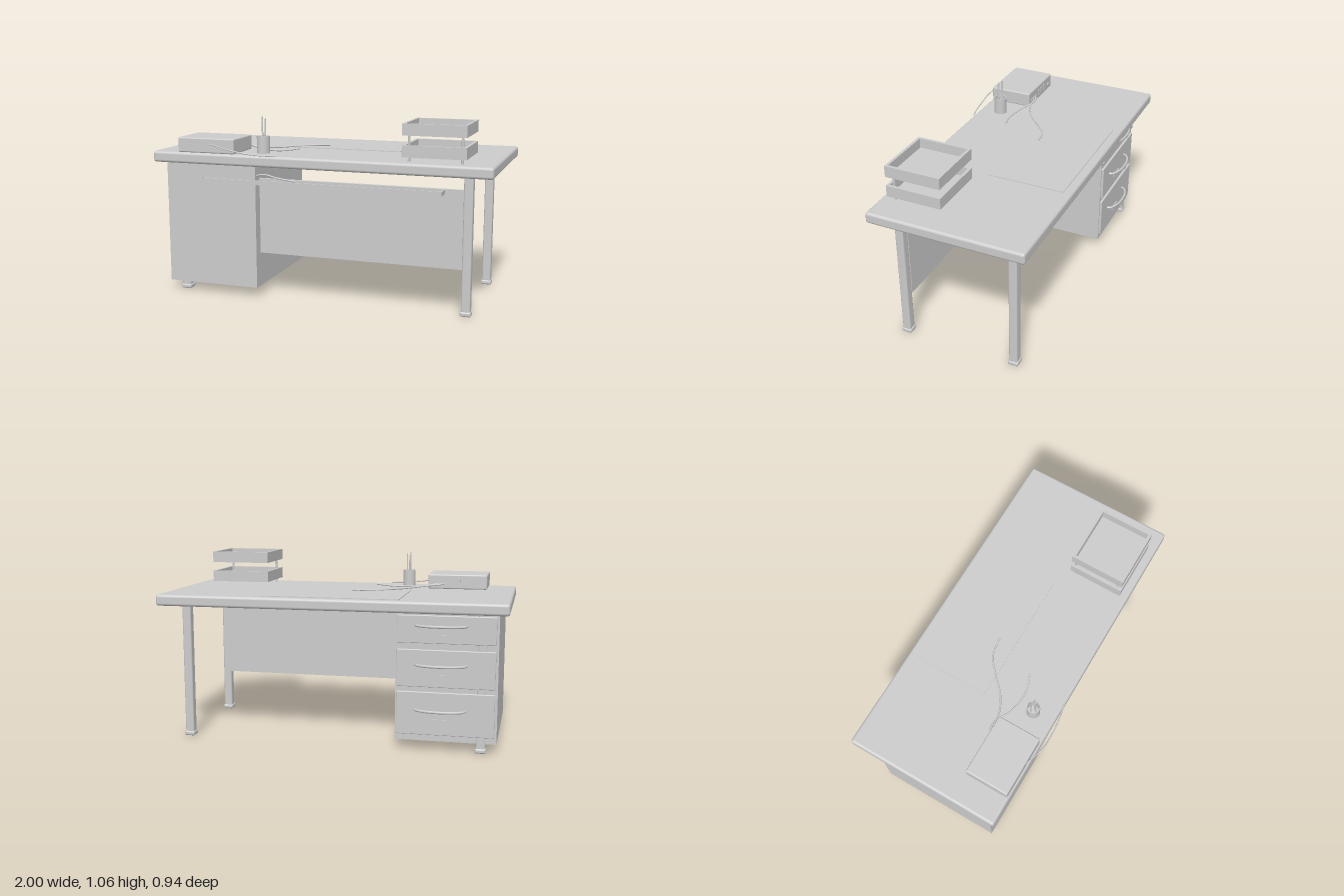
import * as THREE from 'three';
import { RoundedBoxGeometry } from 'three/addons/geometries/RoundedBoxGeometry.js';

const grey = new THREE.MeshStandardMaterial({ color: 0xcccccc });

function add(parent, name, geometry, x = 0, y = 0, z = 0) {
  const mesh = new THREE.Mesh(geometry, grey);
  mesh.name = name;
  mesh.position.set(x, y, z);
  parent.add(mesh);
  return mesh;
}

// Box given by its minimum and maximum on each axis, optionally with rounded edges
function block(parent, name, [x0, x1], [y0, y1], [z0, z1], round = 0) {
  const size = [x1 - x0, y1 - y0, z1 - z0];
  const geometry = round ? new RoundedBoxGeometry(...size, 3, round) : new THREE.BoxGeometry(...size);
  return add(parent, name, geometry, (x0 + x1) / 2, (y0 + y1) / 2, (z0 + z1) / 2);
}

function tube(parent, name, points, radius) {
  const curve = new THREE.CatmullRomCurve3(points.map(p => new THREE.Vector3(...p)));
  return add(parent, name, new THREE.TubeGeometry(curve, 40, radius, 8));
}

function group(parent, name) {
  const g = new THREE.Group();
  g.name = name;
  parent.add(g);
  return g;
}

function cylinder(radius, height, sides = 24) {
  return new THREE.CylinderGeometry(radius, radius, height, sides);
}

// Open tray: floor and four walls
function openTray(parent, name, [x0, x1], [y0, y1], [z0, z1], wall) {
  const g = group(parent, name);
  block(g, 'floor', [x0, x1], [y0, y0 + wall * 0.6], [z0, z1]);
  block(g, 'leftWall', [x1 - wall, x1], [y0, y1], [z0, z1]);
  block(g, 'rightWall', [x0, x0 + wall], [y0, y1], [z0, z1]);
  block(g, 'frontWall', [x0 + wall, x1 - wall], [y0, y1], [z1 - wall, z1]);
  block(g, 'backWall', [x0 + wall, x1 - wall], [y0, y1], [z0, z0 + wall]);
}

export function createModel() {
  const desk = new THREE.Group();
  desk.name = 'desk';

  block(desk, 'tabletop', [-1, 1], [0.784, 0.849], [-0.47, 0.44], 0.016);

  // Legs with round-edged posts and wider feet
  for (const x of [-0.857, 0.853]) {
    for (const z of [-0.347, 0.321]) {
      const leg = group(desk, 'leg');
      block(leg, 'post', [x - 0.026, x + 0.026], [0.02, 0.79], [z - 0.025, z + 0.025], 0.01);
      block(leg, 'foot', [x - 0.031, x + 0.031], [0, 0.028], [z - 0.031, z + 0.031], 0.01);
    }
  }

  // Drawer pedestal, its back face holding the drawers
  block(desk, 'pedestal', [-0.944, -0.377], [0.055, 0.786], [-0.366, 0.375]);
  for (const [y0, y1, handleY] of [[0.61, 0.765, 0.71], [0.364, 0.574, 0.49], [0.092, 0.336, 0.236]]) {
    const drawer = group(desk, 'drawer');
    block(drawer, 'drawerFront', [-0.93, -0.385], [y0, y1], [-0.38, -0.36], 0.004);
    tube(drawer, 'handle', [
      [-0.77, handleY, -0.378], [-0.76, handleY, -0.40], [-0.71, handleY, -0.425],
      [-0.63, handleY, -0.434], [-0.55, handleY, -0.425], [-0.50, handleY, -0.40], [-0.49, handleY, -0.378],
    ], 0.0075);
    block(drawer, 'label', [-0.675, -0.585], [handleY - 0.075, handleY - 0.053], [-0.386, -0.378]);
  }

  block(desk, 'modestyPanel', [-0.38, 0.83], [0.256, 0.7], [0.295, 0.315]);

  // Shallow cable channel under the front edge
  openTray(desk, 'cableChannel', [-0.72, 0.72], [0.675, 0.7], [0.31, 0.402], 0.008);
  tube(desk, 'channelCable', [
    [-0.42, 0.695, 0.365], [-0.38, 0.72, 0.355], [-0.33, 0.729, 0.353], [-0.25, 0.715, 0.36], [-0.14, 0.698, 0.35],
  ], 0.005);

  block(desk, 'deskMat', [-0.4, 0.39], [0.848, 0.853], [-0.42, 0.026]);

  // Connection box with ports on its back
  const hub = group(desk, 'connectionBox');
  block(hub, 'casing', [-0.837, -0.484], [0.849, 0.936], [0.174, 0.43], 0.008);
  for (const x of [-0.52, -0.55, -0.58]) {
    block(hub, 'port', [x - 0.01, x + 0.01], [0.872, 0.89], [0.169, 0.18]);
  }
  for (const x of [-0.63, -0.67, -0.71]) {
    block(hub, 'slot', [x - 0.007, x + 0.007], [0.873, 0.91], [0.169, 0.18]);
  }
  add(hub, 'button', cylinder(0.009, 0.012, 16), -0.78, 0.885, 0.173).rotation.x = Math.PI / 2;

  // Loose cables
  tube(desk, 'longCable', [
    [-0.58, 0.88, 0.172], [-0.55, 0.875, 0.158], [-0.47, 0.866, 0.158], [-0.36, 0.856, 0.105],
    [-0.27, 0.856, 0.02], [-0.18, 0.856, -0.05], [-0.07, 0.86, -0.07],
  ], 0.005);
  tube(desk, 'shortCable', [
    [-0.55, 0.88, 0.172], [-0.5, 0.872, 0.16], [-0.42, 0.86, 0.2], [-0.32, 0.854, 0.22],
    [-0.25, 0.857, 0.215], [-0.17, 0.868, 0.185],
  ], 0.005);
  tube(desk, 'frontCable', [
    [-0.635, 0.9, 0.428], [-0.58, 0.893, 0.445], [-0.5, 0.878, 0.464], [-0.4, 0.862, 0.464],
    [-0.3, 0.854, 0.453], [-0.22, 0.852, 0.436],
  ], 0.004);

  // Pen cup, a hollow turned shape, with three pens
  const cup = group(desk, 'penCup');
  cup.position.set(-0.35, 0.849, 0.31);
  const profile = [[0, 0], [0.038, 0], [0.038, 0], [0.038, 0.098], [0.038, 0.098],
    [0.033, 0.098], [0.033, 0.098], [0.033, 0.008], [0.033, 0.008], [0, 0.008]];
  add(cup, 'cup', new THREE.LatheGeometry(profile.map(p => new THREE.Vector2(...p)), 28));
  for (const [x, z, top] of [[-0.009, -0.01, 0.208], [0.001, 0.014, 0.19], [0.014, 0.002, 0.2]]) {
    add(cup, 'pen', cylinder(0.004, top - 0.008, 10), x, (top + 0.008) / 2, z);
  }

  // Two stacked letter trays on a pair of posts
  const trays = group(desk, 'letterTrays');
  for (const y of [0.875, 0.993]) {
    openTray(trays, 'letterTray', [0.495, 0.848], [y, y + 0.065], [0.072, 0.395], 0.016);
  }
  for (const x of [0.527, 0.819]) {
    add(trays, 'trayPost', cylinder(0.007, 0.15, 12), x, 0.923, 0.36);
  }

  return desk;
}
